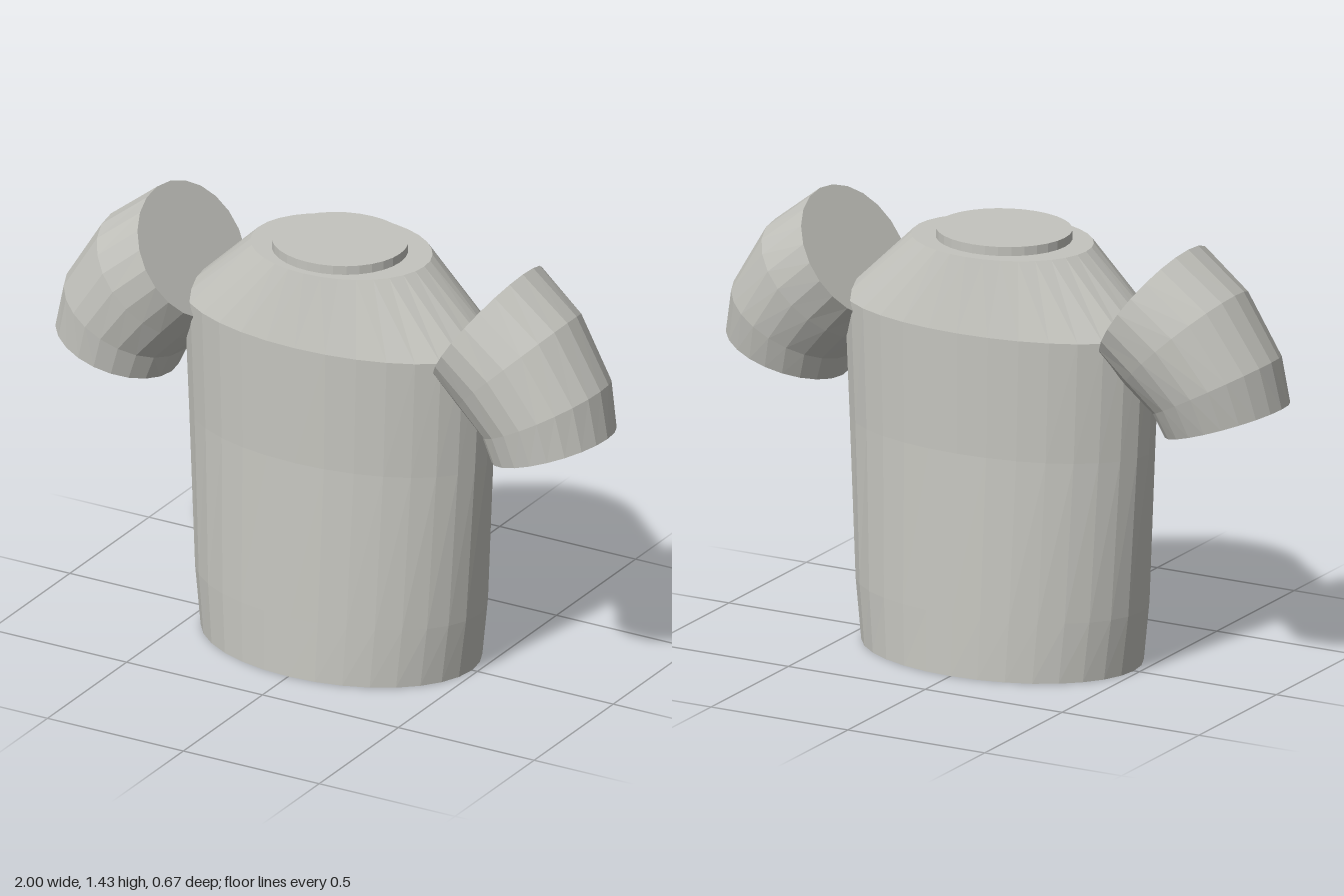
import * as THREE from 'three';

// Closed loft through elliptical sections, listed from bottom to top.
// Section: [x1, y1, x2, y2, zCentre, zRadius]; side = -1 mirrors it in x.
function loft(name, material, sections, segments, side = 1) {
  const rings = sections.map(([x1, y1, x2, y2, zc, rz]) => {
    const ring = [];
    for (let i = 0; i < segments; i++) {
      const a = (i / segments) * Math.PI * 2;
      const c = Math.cos(a);
      ring.push([
        side * ((x1 + x2) / 2 + (c * (x2 - x1)) / 2),
        (y1 + y2) / 2 + (c * (y2 - y1)) / 2,
        zc - rz * Math.sin(a),
      ]);
    }
    return ring;
  });
  const centre = ([x1, y1, x2, y2, zc]) => [side * (x1 + x2) / 2, (y1 + y2) / 2, zc];
  const positions = [];
  const tri = (a, b, c) => positions.push(...a, ...(side > 0 ? b : c), ...(side > 0 ? c : b));
  const last = rings.length - 1;
  const bottom = centre(sections[0]);
  const top = centre(sections[last]);
  for (let i = 0; i < segments; i++) {
    const j = (i + 1) % segments;
    for (let k = 0; k < last; k++) {
      tri(rings[k][i], rings[k][j], rings[k + 1][j]);
      tri(rings[k][i], rings[k + 1][j], rings[k + 1][i]);
    }
    tri(bottom, rings[0][j], rings[0][i]);
    tri(top, rings[last][i], rings[last][j]);
  }
  const geometry = new THREE.BufferGeometry();
  geometry.setAttribute('position', new THREE.Float32BufferAttribute(positions, 3));
  geometry.computeVertexNormals();
  const mesh = new THREE.Mesh(geometry, material);
  mesh.name = name;
  return mesh;
}

export function createModel() {
  const model = new THREE.Group();
  model.name = 'shirt';
  const cloth = new THREE.MeshStandardMaterial({ color: 0xc4c4be, flatShading: true });
  cloth.name = 'light grey cloth';

  // Body: height, half width, half depth
  const body = [
    [0, 0.48, 0.337],
    [0.2, 0.505, 0.326],
    [0.73, 0.535, 0.297],
    [1.13, 0.555, 0.295],
    [1.37, 0.305, 0.24],
  ].map(([y, rx, rz]) => [-rx, y, rx, y, 0, rz]);
  model.add(loft('body', cloth, body, 32));

  // Low collar disc
  const collar = [1.36, 1.4].map((y) => [-0.222, y, 0.222, y, 0.01, 0.205]);
  model.add(loft('collar', cloth, collar, 32));

  // Curved sleeves, from the cuff up to the shoulder cap
  const sleeve = [
    [0.605, 0.81, 1.0, 0.94, 0.035, 0.205],
    [0.573, 0.885, 0.968, 1.094, 0.025, 0.228],
    [0.488, 0.965, 0.84, 1.3, 0.015, 0.252],
    [0.415, 1.05, 0.673, 1.43, 0.01, 0.266],
  ];
  model.add(loft('leftSleeve', cloth, sleeve, 22, 1));
  model.add(loft('rightSleeve', cloth, sleeve, 22, -1));
  return model;
}
